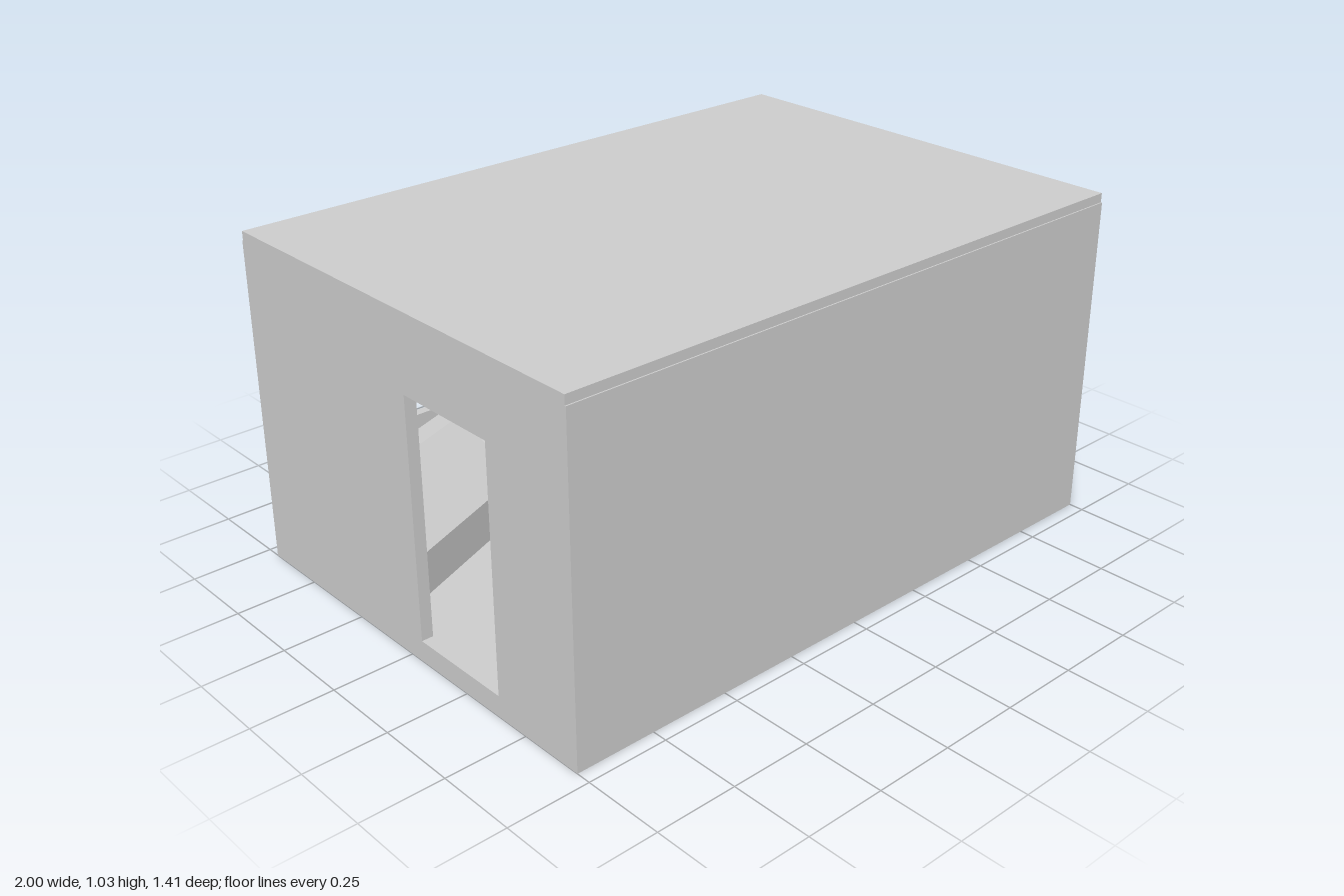
import * as THREE from 'three';

const W = 1, D = 0.705;            // half width and half depth
const TX = 0.036, TZ = 0.03;       // side and front/back wall thickness
const FLOOR = 0.065, TOP = 1.002, ROOF = 1.03;
const SILL = 0.31, HEAD = 0.853;   // window strip limits

export function createModel() {
  const group = new THREE.Group();
  const mat = new THREE.MeshStandardMaterial({ color: 0xcccccc, flatShading: true });

  const add = (name, geo) => {
    const mesh = new THREE.Mesh(geo, mat);
    mesh.name = name;
    group.add(mesh);
    return mesh;
  };
  // Box given by its limits on each axis
  const box = (name, x0, x1, y0, y1, z0, z1) =>
    add(name, new THREE.BoxGeometry(x1 - x0, y1 - y0, z1 - z0)
      .translate((x0 + x1) / 2, (y0 + y1) / 2, (z0 + z1) / 2));
  const polygon = (pts) => pts.map(([x, y]) => new THREE.Vector2(x, y));

  // Floor, roof and the plain front wall
  box('floor', -W + TX, W - TX, 0, FLOOR, -D + TZ, D - TZ);
  box('roof', -W, W, TOP, ROOF, -D + 0.004, D - 0.004);
  box('frontWall', -W + TX, W - TX, 0, TOP, D - TZ, D);

  // Back wall: a long window between the parapet and the lintel
  box('backParapet', -W, W, 0, SILL, -D, -D + TZ);
  box('backLintel', -W, W, HEAD, TOP, -D, -D + TZ);
  box('windowPost', -0.015, 0.028, SILL, HEAD, -D, -D + TZ);

  // Side walls with doorways, and chamfered ends beside the window
  for (const side of [1, -1]) {
    const wall = new THREE.Shape(polygon([[-D, 0], [D - TZ, 0], [D - TZ, TOP], [-D, TOP]]));
    wall.holes.push(new THREE.Path(polygon([[-0.39, FLOOR], [-0.39, 0.798], [-0.05, 0.798], [-0.05, FLOOR]])));
    const wallGeo = new THREE.ExtrudeGeometry(wall, { depth: TX, bevelEnabled: false });
    wallGeo.rotateY(Math.PI / 2).translate(side > 0 ? W - TX : -W, 0, 0);
    add(side > 0 ? 'leftWall' : 'rightWall', wallGeo);

    // Plan of the chamfer, drawn with y standing for -z
    const plan = new THREE.Shape(polygon([
      [side * W, D], [side * W, D - TZ], [side * (W - TX), D - TZ],
    ]));
    const chamfer = new THREE.ExtrudeGeometry(plan, { depth: HEAD - SILL, bevelEnabled: false });
    chamfer.rotateX(-Math.PI / 2).translate(0, SILL, 0);
    add(side > 0 ? 'leftWindowJamb' : 'rightWindowJamb', chamfer);
  }

  add('console', consoleGeometry());
  return group;
}

// Desk along the window with angled wings: ledge, sloping top, upright front
function consoleGeometry() {
  // x and z at the bend, z at the side wall, height
  const profile = [
    [0.45, -0.6, -0.405, FLOOR],
    [0.45, -0.6, -0.405, 0.335],
    [0.435, -0.54, -0.335, 0.335],
    [0.39, -0.32, -0.085, 0.2],
    [0.39, -0.32, -0.085, FLOOR],
  ];
  const end = W - TX;
  const stations = [
    profile.map(([, , ze, y]) => [-end, y, ze]),
    profile.map(([x, z, , y]) => [-x, y, z]),
    profile.map(([x, z, , y]) => [x, y, z]),
    profile.map(([, , ze, y]) => [end, y, ze]),
  ];
  const pos = [];
  for (let i = 0; i < stations.length - 1; i++) {
    for (let j = 0; j < profile.length - 1; j++) {
      const a = stations[i][j], b = stations[i][j + 1];
      const c = stations[i + 1][j + 1], d = stations[i + 1][j];
      pos.push(...a, ...b, ...c, ...a, ...c, ...d);
    }
  }
  const geo = new THREE.BufferGeometry();
  geo.setAttribute('position', new THREE.Float32BufferAttribute(pos, 3));
  geo.computeVertexNormals();
  return geo;
}
